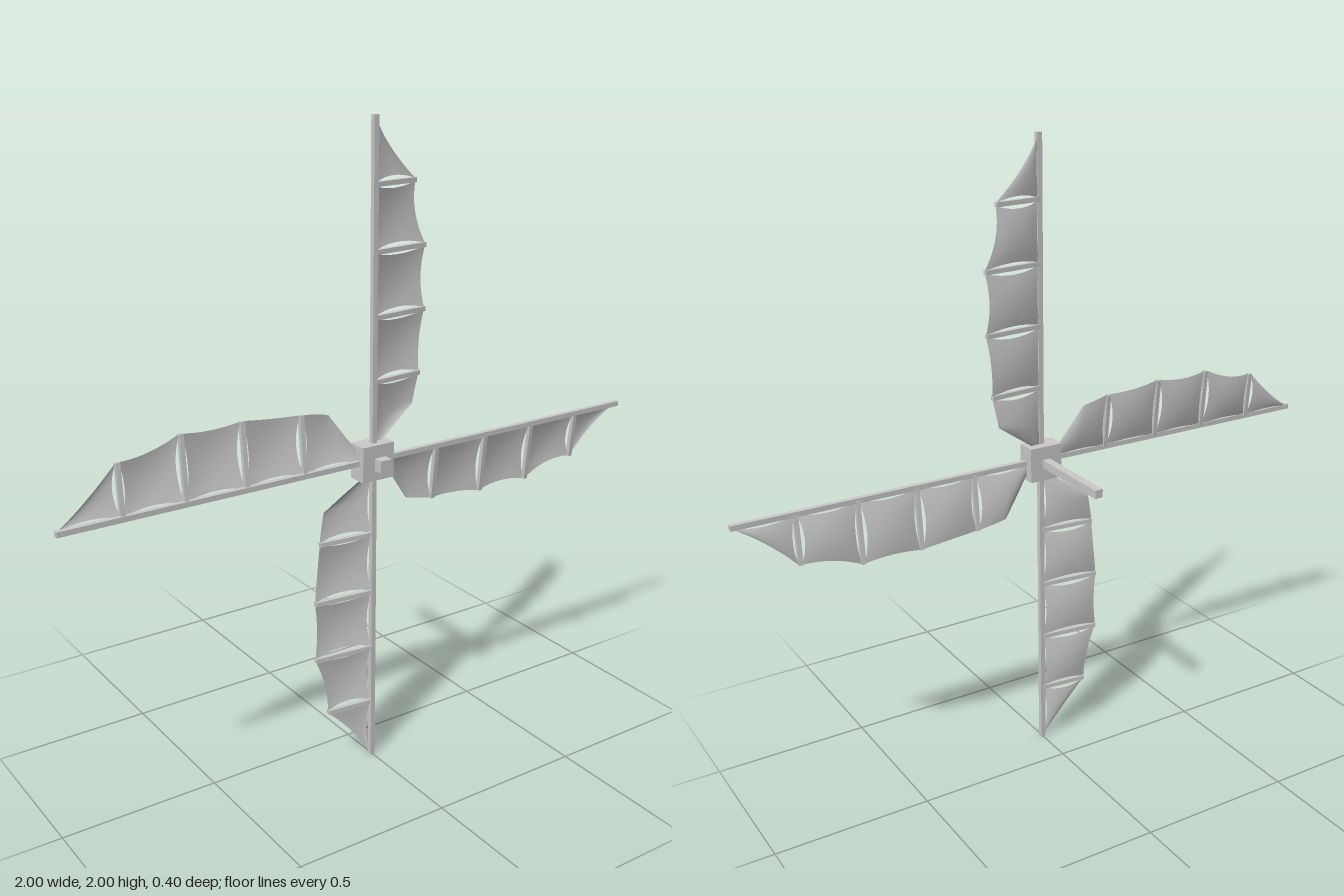
import * as THREE from 'three';

const grey = new THREE.MeshStandardMaterial({ color: 0xcccccc });
const cloth = new THREE.MeshStandardMaterial({ color: 0xcccccc, side: THREE.DoubleSide });
const HUB_Y = 1, SPAR_Z = 0.13, SLOPE = 0.1;

function box(name, w, h, d, x, y, z) {
  const mesh = new THREE.Mesh(new THREE.BoxGeometry(w, h, d), grey);
  mesh.name = name;
  mesh.position.set(x, y, z);
  return mesh;
}

// Ribs along the spar: distance from the hub, reach across the sail
const ribs = [[0.238, 0.178], [0.43, 0.195], [0.62, 0.195], [0.81, 0.153]];

// Cloth panels: start and end along the spar, pull-in of each end, outer edge by s
const lerp = THREE.MathUtils.lerp;
const arch = (t) => 4 * t * (1 - t);
const panels = [
  { a: 0.05, b: 0.234, pa: 0, pb: 0.014,
    edge: (s) => (s < 0.5 ? lerp(0.03, 0.16, s * 2) : lerp(0.16, 0.178, s * 2 - 1)) },
  { a: 0.242, b: 0.426, pa: 0.014, pb: 0.014, edge: (s) => lerp(0.178, 0.195, s) - 0.004 * arch(s) },
  { a: 0.434, b: 0.616, pa: 0.014, pb: 0.014, edge: (s) => 0.195 - 0.01 * arch(s) },
  { a: 0.624, b: 0.806, pa: 0.014, pb: 0.014, edge: (s) => lerp(0.195, 0.153, s) - 0.014 * arch(s) },
  { a: 0.814, b: 0.995, pa: 0.014, pb: 0, edge: (s) => lerp(0.153, 0.003, s) - 0.012 * arch(s) },
];

// A panel pinned at its corners, with drawn-in edges and a belly towards the back
function sailPanel({ a, b, pa, pb, edge }) {
  const geo = new THREE.PlaneGeometry(1, 1, 12, 10);
  const pos = geo.attributes.position;
  for (let i = 0; i < pos.count; i++) {
    const s = pos.getX(i) + 0.5, t = pos.getY(i) + 0.5;
    const along = lerp(a + pa * arch(t), b - pb * arch(t), s);
    const outer = edge(s);
    const inner = Math.min(0.003 + 0.01 * arch(s), outer);
    const across = lerp(inner, outer, t);
    const belly = 0.007 * arch(s) + 0.008 * arch(t) * Math.min(1, outer / 0.15);
    pos.setXYZ(i, across, along, SPAR_Z - SLOPE * across - belly);
  }
  geo.computeVertexNormals();
  const mesh = new THREE.Mesh(geo, cloth);
  mesh.name = 'sailPanel';
  return mesh;
}

// One blade pointing up, sail to +x
function blade() {
  const group = new THREE.Group();
  group.name = 'blade';
  group.add(box('spar', 0.016, 1, 0.016, 0, 0.5, SPAR_Z + 0.002));
  for (const [along, reach] of ribs) {
    const rib = box('rib', reach, 0.014, 0.014, reach / 2, along, SPAR_Z - SLOPE * reach / 2);
    rib.rotation.y = Math.atan(SLOPE);
    group.add(rib);
  }
  panels.forEach((p) => group.add(sailPanel(p)));
  return group;
}

export function createModel() {
  const model = new THREE.Group();
  model.name = 'windmillRotor';

  // Hub, shaft and front cap
  model.add(box('hub', 0.11, 0.11, 0.064, 0, HUB_Y, 0.128));
  model.add(box('shaft', 0.026, 0.026, 0.37, 0, HUB_Y, -0.015));
  model.add(box('shaftCap', 0.038, 0.038, 0.032, 0, HUB_Y, 0.184));

  // Four blades around the hub
  for (let i = 0; i < 4; i++) {
    const b = blade();
    b.position.y = HUB_Y;
    b.rotation.z = -i * Math.PI / 2;
    model.add(b);
  }
  return model;
}
